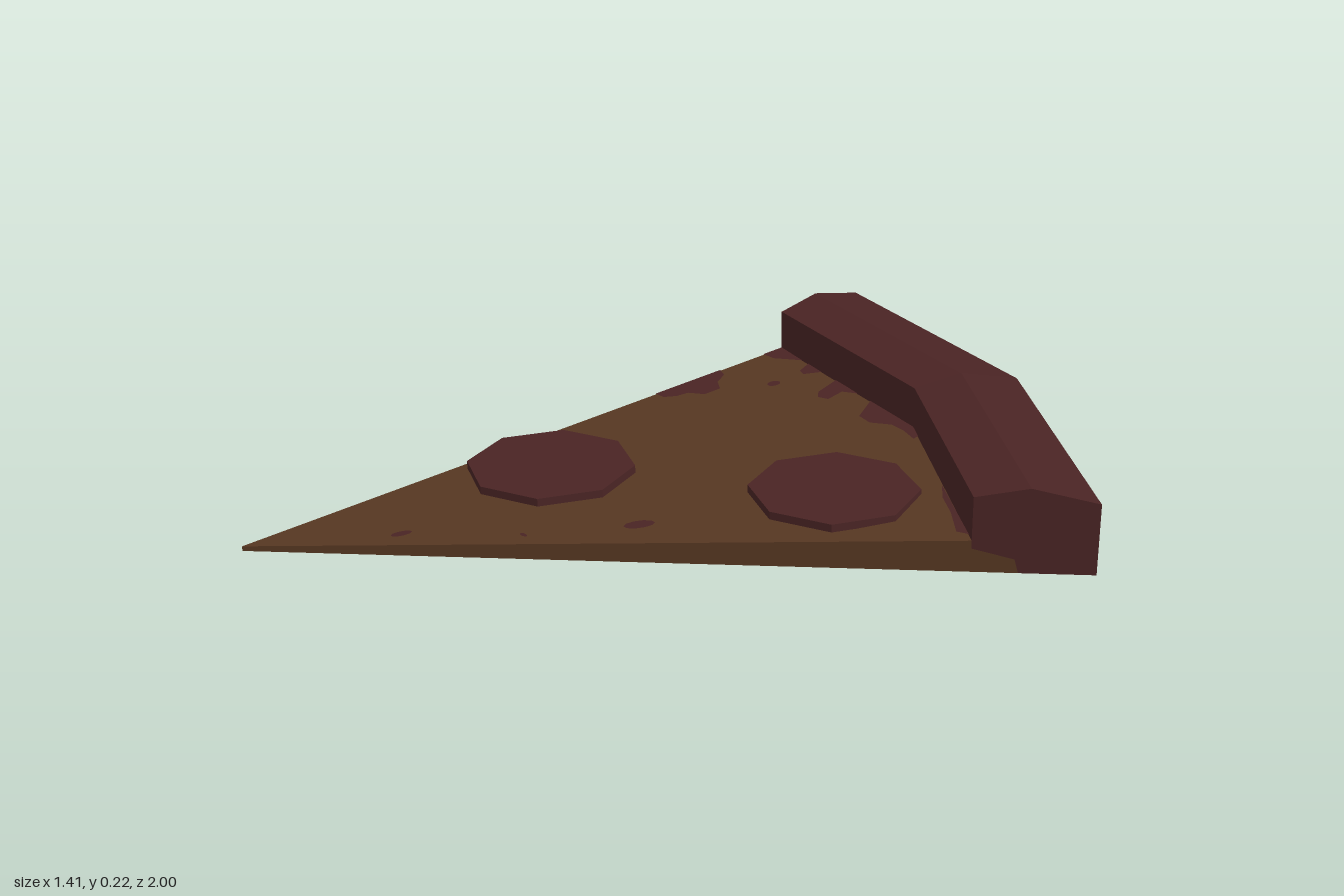
import * as THREE from 'three';

const TIP_X = -0.705, TIP_Z = 1;
const ANGLES = [0, Math.PI / 8, Math.PI / 4];
const INNER = 1.71, OUTER = 2, TIP_Y = 0.012, RIM_Y = 0.08;

// Point at distance r from the tip, along the given angle, at height y
const at = (angle, [r, y]) => [TIP_X + r * Math.sin(angle), y, TIP_Z - r * Math.cos(angle)];

// Flat-faced geometry from a list of polygons, each cut into a fan
function facets(polygons) {
  const positions = [];
  for (const p of polygons) {
    for (let i = 1; i < p.length - 1; i++) positions.push(...p[0], ...p[i], ...p[i + 1]);
  }
  const geometry = new THREE.BufferGeometry();
  geometry.setAttribute('position', new THREE.Float32BufferAttribute(positions, 3));
  geometry.computeVertexNormals();
  return geometry;
}

// The same cut section on both straight sides of the slice
const cutFaces = (section) => [
  section.map((p) => at(ANGLES[0], p)).reverse(),
  section.map((p) => at(ANGLES[2], p)),
];

// Height of the sloping cheese surface
function cheeseHeight(x, z) {
  const reach = [Math.PI / 16, 3 * Math.PI / 16].map(
    (a) => (x - TIP_X) * Math.sin(a) + (TIP_Z - z) * Math.cos(a));
  return TIP_Y + (RIM_Y - TIP_Y) * Math.max(...reach) / (INNER * Math.cos(Math.PI / 16));
}

export function createModel() {
  const group = new THREE.Group();
  const cheese = new THREE.MeshStandardMaterial({ name: 'cheese brown', color: 0x563722 });
  const red = new THREE.MeshStandardMaterial({ name: 'baked red', color: 0x4a2424 });
  const add = (name, geometry, material) => {
    const mesh = new THREE.Mesh(geometry, material);
    mesh.name = name;
    group.add(mesh);
    return mesh;
  };

  // Wedge: sloping top, flat underside and cut sides
  const wedge = cutFaces([[0, 0], [1.82, 0], [1.81, 0.035], [INNER, 0.06], [INNER, RIM_Y], [0, TIP_Y]]);
  // Crust: profile swept over two straight runs, with end caps
  const profile = [[OUTER, 0], [OUTER, 0.18], [1.84, 0.215], [INNER, 0.19], [INNER, RIM_Y]];
  const crust = cutFaces([[OUTER, 0.18], [1.84, 0.215], [INNER, 0.19], [INNER, 0.06],
    [1.81, 0.035], [1.82, 0], [OUTER, 0]]);
  for (let s = 0; s < 2; s++) {
    const a = ANGLES[s], b = ANGLES[s + 1];
    wedge.push([at(a, [0, TIP_Y]), at(b, [INNER, RIM_Y]), at(a, [INNER, RIM_Y])]);
    wedge.push([at(a, [0, 0]), at(a, [OUTER, 0]), at(b, [OUTER, 0])]);
    for (let i = 0; i < profile.length - 1; i++) {
      crust.push([at(a, profile[i]), at(a, profile[i + 1]), at(b, profile[i + 1]), at(b, profile[i])]);
    }
  }
  add('sliceBase', facets(wedge), cheese);
  add('crust', facets(crust), red);

  // Octagonal sausage discs
  for (const [x, z] of [[0.097, -0.16], [-0.47, 0.27]]) {
    const geometry = new THREE.CylinderGeometry(0.21, 0.21, 0.02, 8).toNonIndexed();
    geometry.computeVertexNormals();
    add('sausageDisc', geometry, red).position.set(x, 0.08, z);
  }

  // Sauce stains lying on the cheese, outlined as [x, z]
  const oval = (x, z, rx, rz, lean = 0) => Array.from({ length: 10 }, (_, i) => {
    const t = i / 10 * Math.PI * 2;
    return [x + rx * Math.cos(t) + lean * Math.sin(t), z - rz * Math.sin(t)];
  });
  const stains = [
    [[-0.704, -0.71], [-0.704, -0.64], [-0.66, -0.64], [-0.63, -0.66], [-0.59, -0.685]],
    [[-0.56, -0.68], [-0.54, -0.63], [-0.515, -0.62], [-0.49, -0.665]],
    [[-0.42, -0.655], [-0.395, -0.565], [-0.37, -0.54], [-0.34, -0.55], [-0.35, -0.61], [-0.31, -0.63]],
    [[-0.25, -0.62], [-0.2, -0.53], [-0.15, -0.52], [-0.1, -0.55], [-0.05, -0.545],
      [0.005, -0.525], [0, -0.55], [-0.05, -0.58]],
    [[-0.704, -0.48], [-0.67, -0.465], [-0.645, -0.42], [-0.605, -0.395], [-0.605, -0.34],
      [-0.645, -0.315], [-0.65, -0.28], [-0.67, -0.25], [-0.704, -0.25]],
    [[0.25, -0.375], [0.3, -0.325], [0.37, -0.28], [0.45, -0.215], [0.48, -0.225]],
    oval(-0.525, -0.52, 0.015, 0.02),
    oval(-0.113, 0.275, 0.022, 0.035, 0.012),
    oval(-0.483, 0.7, 0.013, 0.025, 0.006),
    oval(-0.267, 0.5, 0.012, 0.006),
  ];
  for (const outline of stains) {
    const shape = new THREE.Shape(outline.map(([x, z]) => new THREE.Vector2(x, -z)));
    const geometry = new THREE.ShapeGeometry(shape).rotateX(-Math.PI / 2);
    const p = geometry.attributes.position;
    for (let i = 0; i < p.count; i++) p.setY(i, cheeseHeight(p.getX(i), p.getZ(i)) + 0.003);
    geometry.computeVertexNormals();
    add('sauceStain', geometry, red);
  }
  return group;
}
